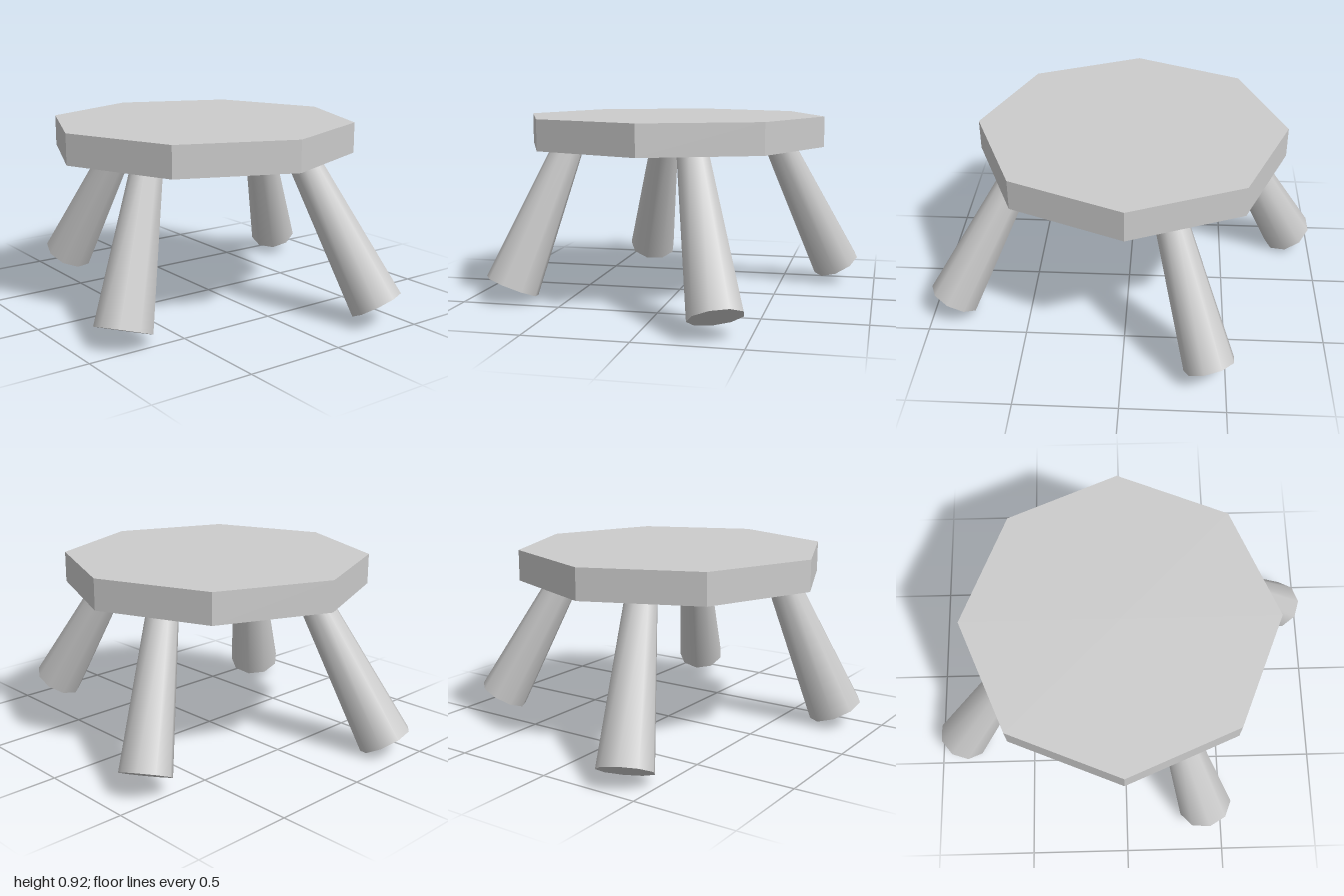
import * as THREE from 'three';

// Splayed legs: foot centre, point where the axis meets the seat underside, foot radius
const LEGS = [
  { name: 'frontLeftLeg', foot: [0.355, 0.1, 0.885], joint: [0.18, 0.77, 0.53], radius: 0.13 },
  { name: 'frontRightLeg', foot: [-0.773, 0.075, 0.415], joint: [-0.525, 0.77, 0.24], radius: 0.14 },
  { name: 'backRightLeg', foot: [-0.37, 0.066, -0.88], joint: [-0.2, 0.77, -0.515], radius: 0.135 },
  { name: 'backLeftLeg', foot: [0.79, 0.095, -0.42], joint: [0.49, 0.77, -0.205], radius: 0.127 },
];

// Tapered leg, wider at the foot, with its upper end sunk slightly into the seat
function makeLeg({ name, foot, joint, radius }, material) {
  const bottom = new THREE.Vector3(...foot);
  const top = new THREE.Vector3(...joint);
  const axis = top.clone().sub(bottom).normalize();
  top.addScaledVector(axis, 0.03);
  const geometry = new THREE.CylinderGeometry(0.075, radius, top.distanceTo(bottom), 9);
  const leg = new THREE.Mesh(geometry, material);
  leg.name = name;
  leg.position.copy(bottom).add(top).multiplyScalar(0.5);
  leg.quaternion.setFromUnitVectors(new THREE.Vector3(0, 1, 0), axis);
  return leg;
}

export function createModel() {
  const group = new THREE.Group();
  group.name = 'stool';

  // Octagonal seat slab, slightly off centre over the legs
  const seat = new THREE.Mesh(
    new THREE.CylinderGeometry(0.775, 0.775, 0.153, 8),
    new THREE.MeshStandardMaterial({ color: 0xcccccc, flatShading: true })
  );
  seat.name = 'seat';
  seat.position.set(-0.035, 0.847, -0.014);
  group.add(seat);

  // Legs
  const legMaterial = new THREE.MeshStandardMaterial({ color: 0xcccccc });
  for (const spec of LEGS) group.add(makeLeg(spec, legMaterial));

  return group;
}
